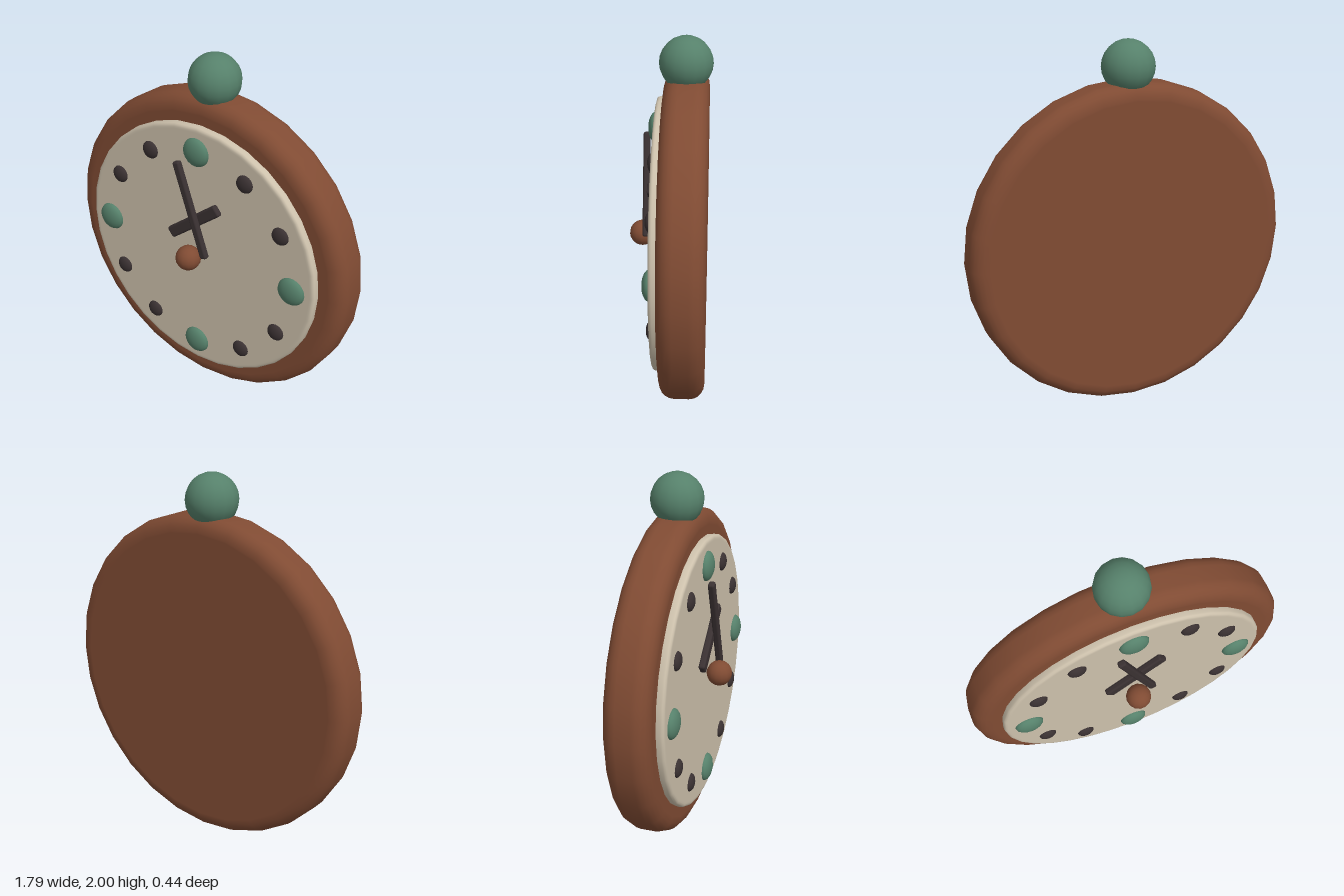
import * as THREE from 'three';
import { RoundedBoxGeometry } from 'three/addons/geometries/RoundedBoxGeometry.js';

const material = (name, color) => {
  const m = new THREE.MeshStandardMaterial({ color });
  m.name = name;
  return m;
};

// Disc with rounded rims, its axis along z, from z0 to z1
function roundedDisc(radius, z0, z1, corner, steps, sides) {
  const inner = radius - corner;
  const points = [new THREE.Vector2(0, z0), new THREE.Vector2(inner - 0.01, z0)];
  for (const [z, start] of [[z0 + corner, -Math.PI / 2], [z1 - corner, 0]]) {
    for (let i = 0; i <= steps; i++) {
      const a = start + (i / steps) * Math.PI / 2;
      points.push(new THREE.Vector2(inner + corner * Math.cos(a), z + corner * Math.sin(a)));
    }
  }
  points.push(new THREE.Vector2(inner - 0.01, z1), new THREE.Vector2(0, z1));
  return new THREE.LatheGeometry(points, sides).rotateX(Math.PI / 2);
}

export function createModel() {
  const group = new THREE.Group();
  group.name = 'clock';
  const brown = material('brown wood', 0x804b33);
  const cream = material('cream dial', 0xcdc1ac);
  const green = material('green', 0x56816b);
  const dark = material('dark brown', 0x3a3132);
  const centreY = 0.9;

  const add = (name, geometry, mat, x, y, z) => {
    const mesh = new THREE.Mesh(geometry, mat);
    mesh.name = name;
    mesh.position.set(x, y, z);
    group.add(mesh);
    return mesh;
  };

  // Case and dial
  add('case', roundedDisc(0.896, -0.203, 0.036, 0.08, 5, 28), brown, 0, 0.896, 0);
  add('dial', roundedDisc(0.75, 0.02, 0.077, 0.018, 3, 32), cream, 0, centreY, 0);

  // Knob on top
  add('topKnob', new THREE.SphereGeometry(0.14, 16, 12), green, 0, 1.86, -0.082);

  // Hour markers: large green at the quarters, small dark between
  for (let i = 0; i < 12; i++) {
    const quarter = i % 3 === 0;
    const a = (i / 12) * Math.PI * 2;
    const marker = add(quarter ? 'quarterMarker' : 'hourMarker',
      new THREE.SphereGeometry(quarter ? 0.08 : 0.05, 16, 12), quarter ? green : dark,
      0.612 * Math.sin(a), centreY + 0.612 * Math.cos(a), 0.077);
    marker.scale.z = quarter ? 0.48 : 0.5;
  }

  // Hands
  const hourHand = add('hourHand', new RoundedBoxGeometry(0.065, 0.4, 0.036, 2, 0.012), dark, 0, 1.105, 0.098);
  hourHand.rotation.z = -0.89;
  const minuteHand = add('minuteHand', new RoundedBoxGeometry(0.044, 0.565, 0.036, 2, 0.012), dark, 0.002, 1.187, 0.128);
  minuteHand.rotation.z = 0.33;

  // Centre hub
  add('hub', new THREE.SphereGeometry(0.07, 14, 10), brown, 0, centreY, 0.152);

  return group;
}
